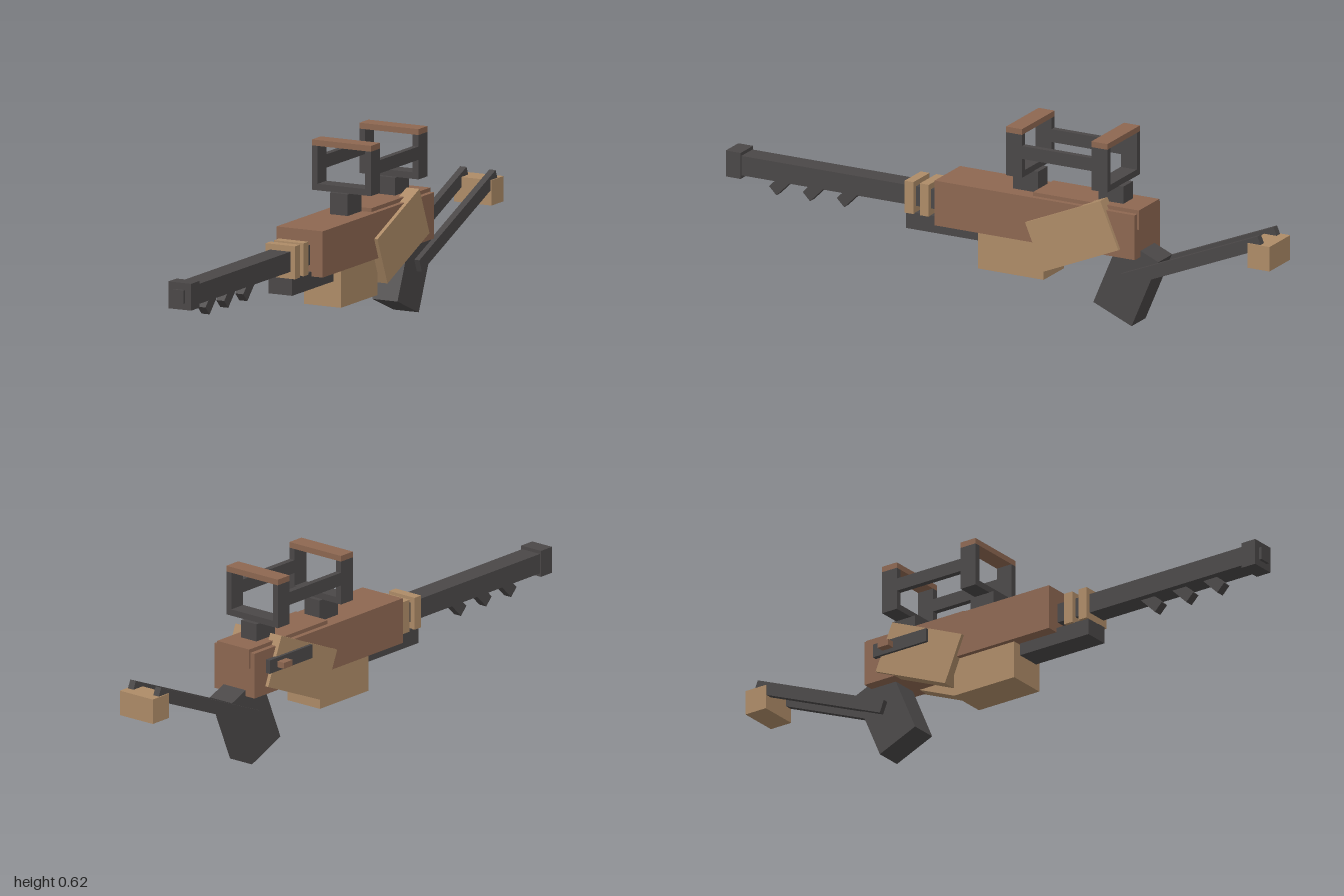
import * as THREE from 'three';

const make = (name, hex) => {
  const m = new THREE.MeshStandardMaterial({ color: hex });
  m.name = name;
  return m;
};

export function createModel() {
  const model = new THREE.Group();
  model.name = 'blockyLauncher';
  const dark = make('charcoal', 0x4a4747);
  const brown = make('brown', 0x8d6751);
  const tan = make('tan', 0xad8b67);
  const CX = 0.012; // centre line of the body

  // Box from its size and centre, optionally tilted in degrees about x
  const box = (parent, name, mat, [w, h, d], [x, y, z], tilt = 0) => {
    const mesh = new THREE.Mesh(new THREE.BoxGeometry(w, h, d), mat);
    mesh.name = name;
    mesh.position.set(x, y, z);
    mesh.rotation.x = THREE.MathUtils.degToRad(tilt);
    parent.add(mesh);
    return mesh;
  };

  // Body with raised rear cover
  box(model, 'body', brown, [0.168, 0.15, 0.727], [CX, 0.313, -0.1555]);
  box(model, 'topCover', brown, [0.134, 0.065, 0.385], [CX, 0.368, -0.3325]);

  // Barrel, muzzle and the two collars
  box(model, 'barrel', dark, [0.074, 0.065, 0.76], [CX, 0.307, 0.57]);
  box(model, 'muzzle', dark, [0.083, 0.087, 0.054], [CX, 0.307, 0.963]);
  box(model, 'muzzleTip', dark, [0.04, 0.043, 0.03], [CX, 0.307, 0.985]);
  for (const z of [0.318, 0.262]) {
    box(model, 'collar', tan, [0.107, 0.107, 0.032], [CX, 0.305, z]);
  }

  // Slanted teeth under the barrel
  for (const z of [0.806, 0.684, 0.56]) {
    box(model, 'barrelTooth', dark, [0.029, 0.038, 0.08], [CX, 0.261, z], 45);
  }

  // Underside: rail and front block
  box(model, 'underRail', dark, [0.086, 0.056, 0.27], [CX, 0.225, 0.199]);
  box(model, 'lowerBlock', tan, [0.135, 0.135, 0.238], [CX, 0.18, -0.06]);

  // Tilted grip
  box(model, 'grip', dark, [0.092, 0.25, 0.151], [CX, 0.145, -0.466], -23);

  // Mirrored side plates and stock arms
  for (const s of [-1, 1]) {
    box(model, 'sidePlate', tan, [0.047, 0.168, 0.297], [CX + s * 0.0727, 0.2855, -0.297], 23);
    box(model, 'stockArm', dark, [0.023, 0.043, 0.538], [CX + s * 0.053, 0.259, -0.714], 22.5);
  }
  box(model, 'stockPad', tan, [0.137, 0.082, 0.08], [CX, 0.314, -0.96]);

  // Side slot with its peg
  box(model, 'sideSlot', dark, [0.016, 0.045, 0.21], [-0.086, 0.3355, -0.365]);
  box(model, 'sidePeg', brown, [0.03, 0.02, 0.042], [-0.106, 0.336, -0.411]);

  // Two top frames on short posts
  for (const z of [-0.0935, -0.4035]) {
    const frame = new THREE.Group();
    frame.name = 'topFrame';
    frame.position.set(CX, 0, z);
    model.add(frame);
    box(frame, 'framePost', dark, [0.064, 0.08, 0.091], [0, 0.418, 0]);
    box(frame, 'frameBottom', dark, [0.175, 0.021, 0.058], [0, 0.4675, 0]);
    for (const s of [-1, 1]) {
      box(frame, 'frameSide', dark, [0.021, 0.144, 0.058], [s * 0.097, 0.529, 0]);
    }
    box(frame, 'frameCap', brown, [0.215, 0.019, 0.058], [0, 0.6105, 0]);
  }

  // Bars joining the frames
  for (const s of [-1, 1]) {
    box(model, 'frameBar', dark, [0.02, 0.043, 0.27], [CX + s * 0.097, 0.542, -0.2485]);
  }
  return model;
}
